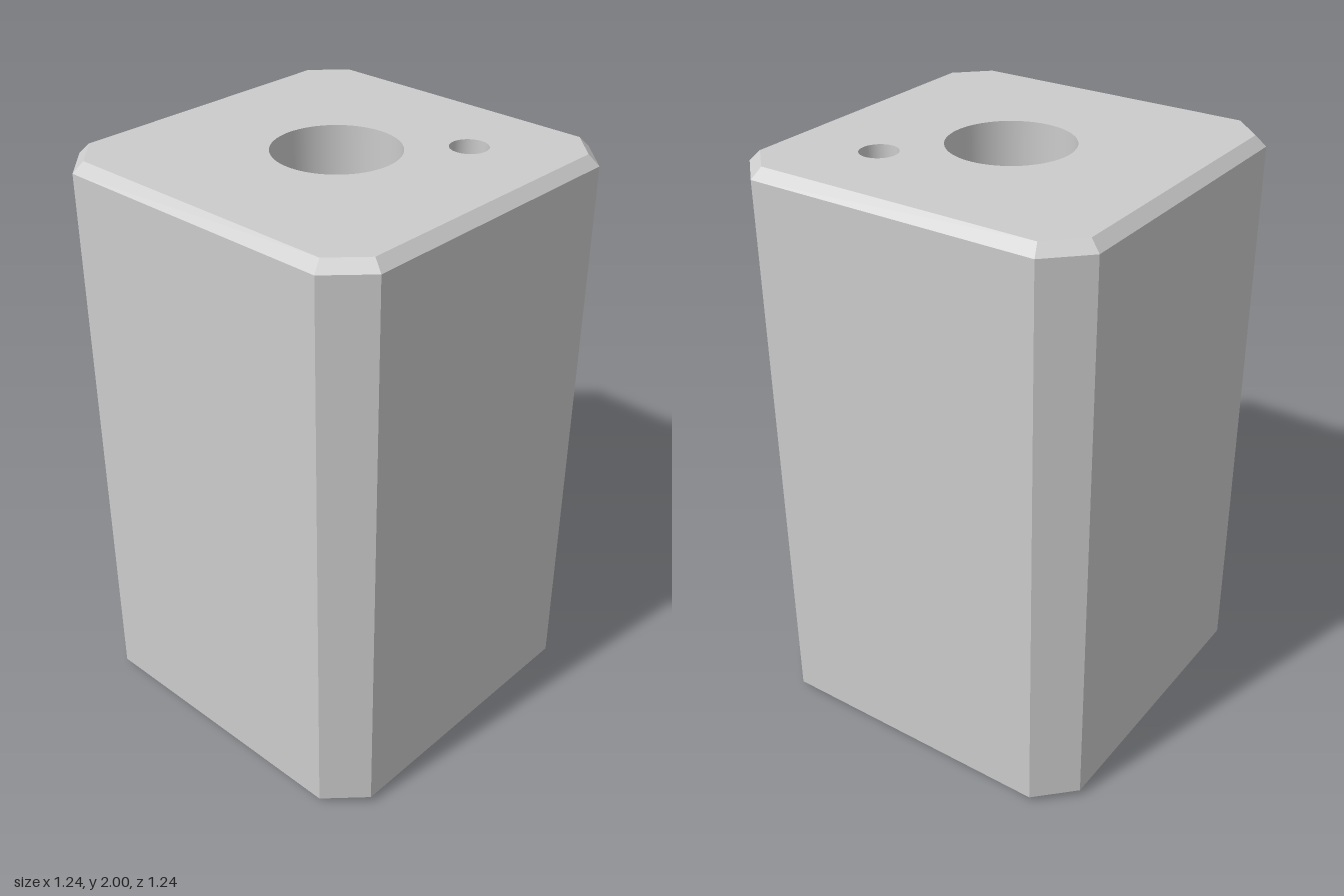
import * as THREE from 'three';

const HALF = 0.622, FLAT = 0.5;           // half width, half length of each flat side
const TOP_BEVEL = 0.034, BOTTOM_BEVEL = 0.025;
const BORE_R = 0.206, RECESS_R = 0.317, RECESS_DEPTH = 0.16;
const PIN = { x: 0.285, z: -0.29, r: 0.0625, depth: 0.25 };
const SEG = 64;

// Square with cut corners, moved inward evenly; counter-clockwise
function outline(inset) {
  const a = HALF - inset, b = FLAT - inset * (Math.SQRT2 - 1);
  return [[a, -b], [a, b], [b, a], [-b, a], [-a, b], [-a, -b], [-b, -a], [b, -a]]
    .map(([x, y]) => new THREE.Vector2(x, y));
}

// Flat bands between stacked outlines, each { y, inset }
function bands(levels) {
  const pos = [];
  const put = (p, y) => pos.push(p.x, y, -p.y);
  for (let l = 0; l < levels.length - 1; l++) {
    const [lo, hi] = [levels[l], levels[l + 1]];
    const A = outline(lo.inset), B = outline(hi.inset);
    for (let i = 0; i < 8; i++) {
      const j = (i + 1) % 8;
      put(A[i], lo.y); put(A[j], lo.y); put(B[j], hi.y);
      put(A[i], lo.y); put(B[j], hi.y); put(B[i], hi.y);
    }
  }
  const g = new THREE.BufferGeometry();
  g.setAttribute('position', new THREE.Float32BufferAttribute(pos, 3));
  g.computeVertexNormals();
  return g;
}

// End face with a central hole and a pin hole; dir is 1 for up, -1 for down
function endFace(inset, holeR, y, dir) {
  const shape = new THREE.Shape(outline(inset));
  shape.holes.push(
    new THREE.Path().absarc(0, 0, holeR, 0, Math.PI * 2, true),
    new THREE.Path().absarc(PIN.x, -PIN.z * dir, PIN.r, 0, Math.PI * 2, true));
  return new THREE.ShapeGeometry(shape, SEG / 2).rotateX(-dir * Math.PI / 2).translate(0, y, 0);
}

export function createModel() {
  const group = new THREE.Group();
  const solid = new THREE.MeshStandardMaterial({ color: 0xcccccc });
  const inner = new THREE.MeshStandardMaterial({ color: 0xcccccc, side: THREE.BackSide });
  const add = (name, geometry, material = solid) => {
    const mesh = new THREE.Mesh(geometry, material);
    mesh.name = name;
    group.add(mesh);
  };
  const wall = (r, y0, y1, x = 0, z = 0) =>
    new THREE.CylinderGeometry(r, r, y1 - y0, SEG, 1, true).translate(x, (y0 + y1) / 2, z);

  // Outer body with bevelled ends
  add('bodySides', bands([
    { y: 0, inset: BOTTOM_BEVEL }, { y: BOTTOM_BEVEL, inset: 0 },
    { y: 2 - TOP_BEVEL, inset: 0 }, { y: 2, inset: TOP_BEVEL }]));
  add('topFace', endFace(TOP_BEVEL, BORE_R, 2, 1));
  add('bottomFace', endFace(BOTTOM_BEVEL, RECESS_R, 0, -1));

  // Through bore with a wider recess underneath
  add('boreWall', wall(BORE_R, RECESS_DEPTH, 2), inner);
  add('recessWall', wall(RECESS_R, 0, RECESS_DEPTH), inner);
  add('recessLedge', new THREE.RingGeometry(BORE_R, RECESS_R, SEG)
    .rotateX(Math.PI / 2).translate(0, RECESS_DEPTH, 0));

  // Blind pin holes in both ends
  for (const [name, mouth, dir] of [['topPinHole', 2, 1], ['bottomPinHole', 0, -1]]) {
    const floor = mouth - dir * PIN.depth;
    add(name + 'Wall', wall(PIN.r, Math.min(mouth, floor), Math.max(mouth, floor), PIN.x, PIN.z), inner);
    add(name + 'Floor', new THREE.CircleGeometry(PIN.r, SEG)
      .rotateX(-dir * Math.PI / 2).translate(PIN.x, floor, PIN.z));
  }
  return group;
}
